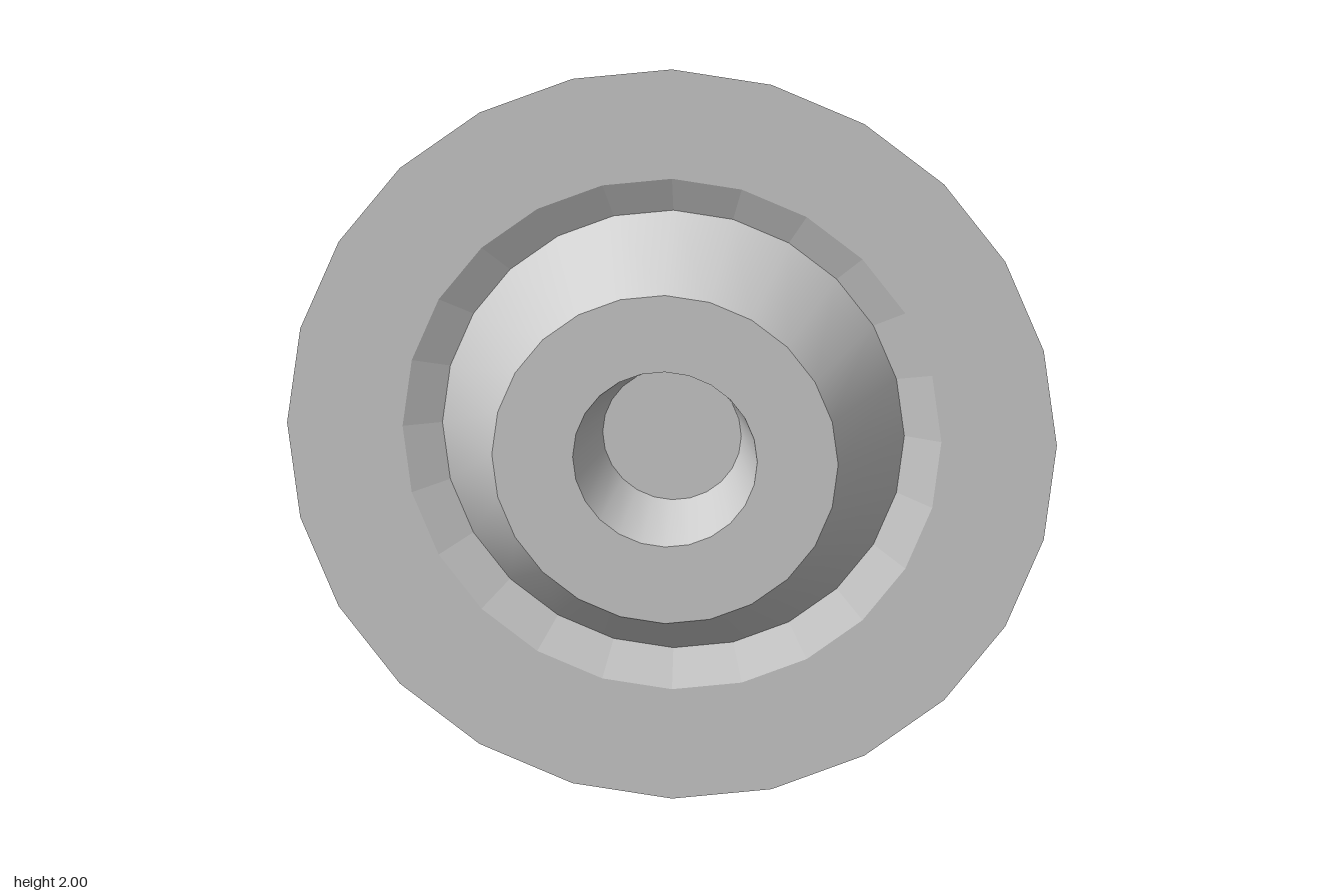
import * as THREE from 'three';

const SIDES = 24;

export function createModel() {
  const model = new THREE.Group();
  model.name = 'flangedDisc';
  const grey = new THREE.MeshStandardMaterial({ color: 0xcccccc, side: THREE.DoubleSide });
  grey.name = 'lightGrey';

  function add(name, geometry) {
    const mesh = new THREE.Mesh(geometry, grey);
    mesh.name = name;
    mesh.position.y = 1;
    model.add(mesh);
    return mesh;
  }

  // One thin ring of sheet between two (radius, z) circles, axis along z
  function band(name, r0, z0, r1, z1, faceted = false) {
    let g = new THREE.LatheGeometry([new THREE.Vector2(r0, z0), new THREE.Vector2(r1, z1)], SIDES);
    g.rotateX(Math.PI / 2);
    if (faceted) {
      g = g.toNonIndexed();
      g.computeVertexNormals();
    }
    add(name, g);
  }

  // Profile from the outer rim inwards
  band('outerFlange', 1, -0.08, 0.7, -0.08);
  band('flangeBevel', 0.7, -0.08, 0.6, -0.12, true);
  band('raisedWall', 0.6, -0.12, 0.45, 0.12);
  band('frontFace', 0.45, 0.12, 0.24, 0.12);
  band('hubWall', 0.24, 0.12, 0.18, -0.08);

  // Floor of the hub recess
  add('hubFloor', new THREE.CircleGeometry(0.18, SIDES)).position.z = -0.08;

  return model;
}
